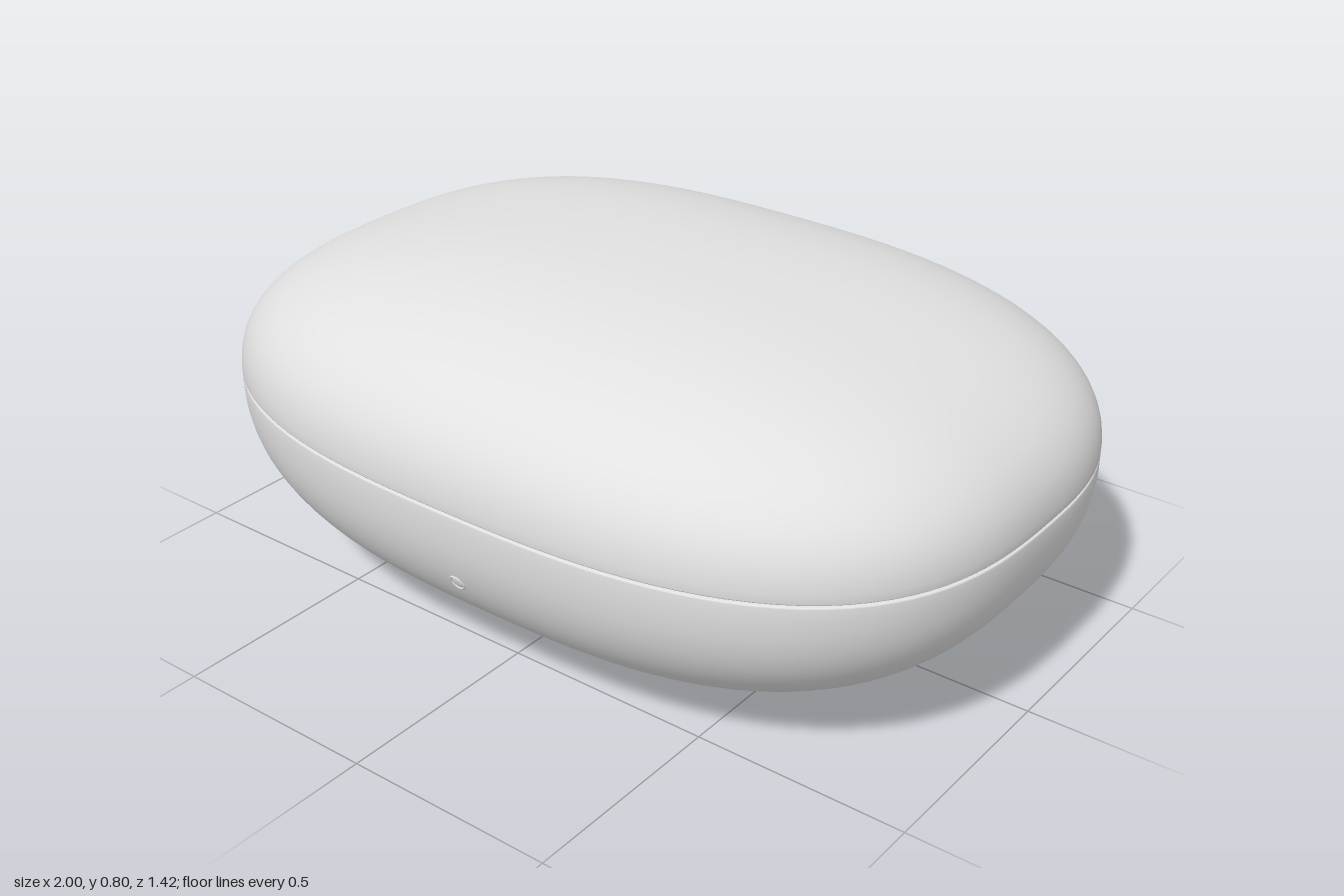
import * as THREE from 'three';
import { mergeVertices } from 'three/addons/utils/BufferGeometryUtils.js';

const DEPTH = 0.71;  // half depth; half width is 1
const PLAN = 2.73;   // roundness of the outline seen from above
const SEAM = 0.457;

// Revolves a profile, then squares the circle into a rounded oblong
function oblong(points) {
  let geo = new THREE.LatheGeometry(points, 128);
  geo.deleteAttribute('uv');
  geo.deleteAttribute('normal');
  const p = geo.attributes.position;
  for (let i = 0; i < p.count; i++) {
    const x = p.getX(i), z = p.getZ(i), r = Math.hypot(x, z);
    if (r < 1e-6) continue;
    const k = Math.pow(Math.abs(x / r) ** PLAN + Math.abs(z / r) ** PLAN, -1 / PLAN);
    p.setX(i, x * k);
    p.setZ(i, z * k * DEPTH);
  }
  geo = mergeVertices(geo, 1e-5);
  geo.computeVertexNormals();
  return geo;
}

// Profile of one shell, from the inner lip at the seam out to the pole
function shellProfile(dir, height, power) {
  const gap = 0.002;
  const pts = [[0.98, gap], [0.992, gap], [0.997, gap + 0.001], [0.9995, gap + 0.004]];
  const steps = 40;
  for (let i = 1; i <= steps; i++) {
    const a = (i / steps) * Math.PI / 2;
    const r = i === steps ? 0 : Math.cos(a) ** (2 / power);
    const y = Math.sin(a) ** (2 / power) * height;
    if (y > gap + 0.01) pts.push([r, y]);
  }
  const profile = pts.map(([r, y]) => new THREE.Vector2(r, SEAM + dir * y));
  return dir > 0 ? profile : profile.reverse();
}

export function createModel() {
  const group = new THREE.Group();
  group.name = 'chargingCase';
  const shell = new THREE.MeshStandardMaterial({ color: 0xe1e1e1 });
  shell.name = 'light grey shell';

  const add = (name, geo, parent = group) => {
    const mesh = new THREE.Mesh(geo, shell);
    mesh.name = name;
    parent.add(mesh);
    return mesh;
  };

  // Lid and base, meeting at a fine groove
  add('lid', oblong(shellProfile(1, 0.8 - SEAM, 2.42)));
  add('base', oblong(shellProfile(-1, SEAM, 2.45)));

  // Recessed wall at the bottom of the groove
  add('seamCore', oblong([
    new THREE.Vector2(0.985, SEAM - 0.005),
    new THREE.Vector2(0.985, SEAM + 0.005),
  ]));

  // Small round indicator on the front of the base
  const indicator = new THREE.Group();
  indicator.name = 'indicator';
  add('indicatorRing', new THREE.TorusGeometry(0.018, 0.003, 8, 32), indicator);
  const lens = add('indicatorLens', new THREE.SphereGeometry(0.014, 24, 12), indicator);
  lens.scale.z = 0.2;
  indicator.position.set(0, 0.275, 0.678);
  indicator.rotation.x = 0.41;
  group.add(indicator);

  return group;
}
